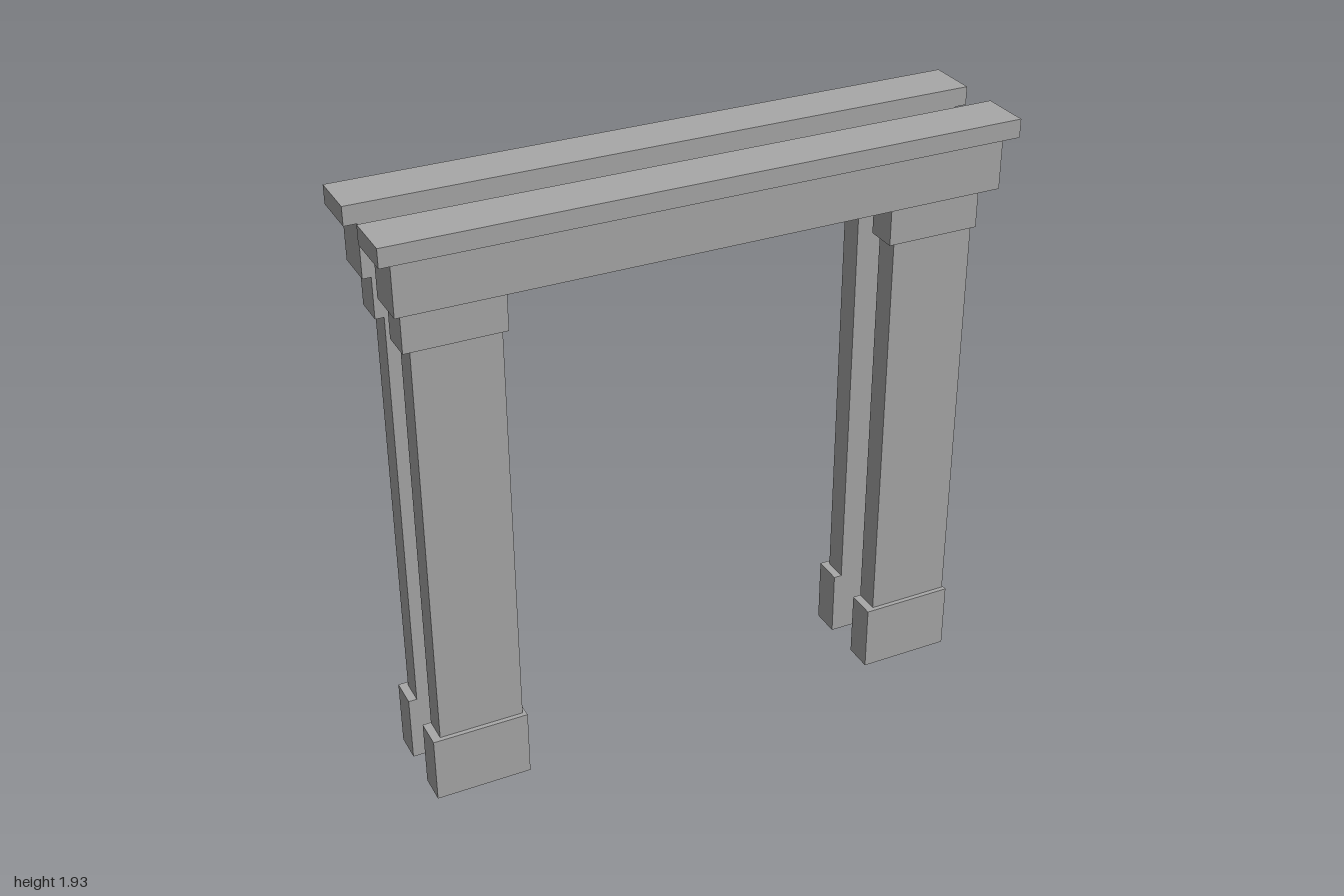
import * as THREE from 'three';

export function createModel() {
  const stone = new THREE.MeshStandardMaterial({ color: 0xa8a8a8 });
  stone.name = 'greyStone';

  const INNER = 0.064; // flat inner plane of each half of the frame

  // Box from x, y ranges, running from the inner plane out to depth z1
  function block(name, x0, x1, y0, y1, z1, side) {
    const geo = new THREE.BoxGeometry(x1 - x0, y1 - y0, z1 - INNER);
    const mesh = new THREE.Mesh(geo, stone);
    mesh.name = name;
    mesh.position.set((x0 + x1) / 2, (y0 + y1) / 2, side * (INNER + z1) / 2);
    return mesh;
  }

  // One pilaster; trim pieces overhang the shaft by the given left and right amounts
  function pilaster(name, x0, x1, over0, over1, side) {
    const g = new THREE.Group();
    g.name = name;
    g.add(
      block('base', x0 - over0, x1 + over1, 0, 0.222, 0.161, side),
      block('shaft', x0, x1, 0.222, 1.575, 0.146, side),
      block('capital', x0 - over0, x1 + over1, 1.575, 1.706, 0.166, side)
    );
    return g;
  }

  // Front half and its mirrored back half
  const model = new THREE.Group();
  model.name = 'doorSurround';
  for (const side of [1, -1]) {
    const half = new THREE.Group();
    half.name = side > 0 ? 'frontSurround' : 'backSurround';
    half.add(
      pilaster('rightPilaster', -0.907, -0.634, 0.027, 0.011, side),
      pilaster('leftPilaster', 0.633, 0.906, 0.027, 0.005, side),
      block('lintel', -0.96, 0.96, 1.706, 1.874, 0.201, side),
      block('cornice', -1, 1, 1.874, 1.933, 0.228, side)
    );
    model.add(half);
  }
  return model;
}
